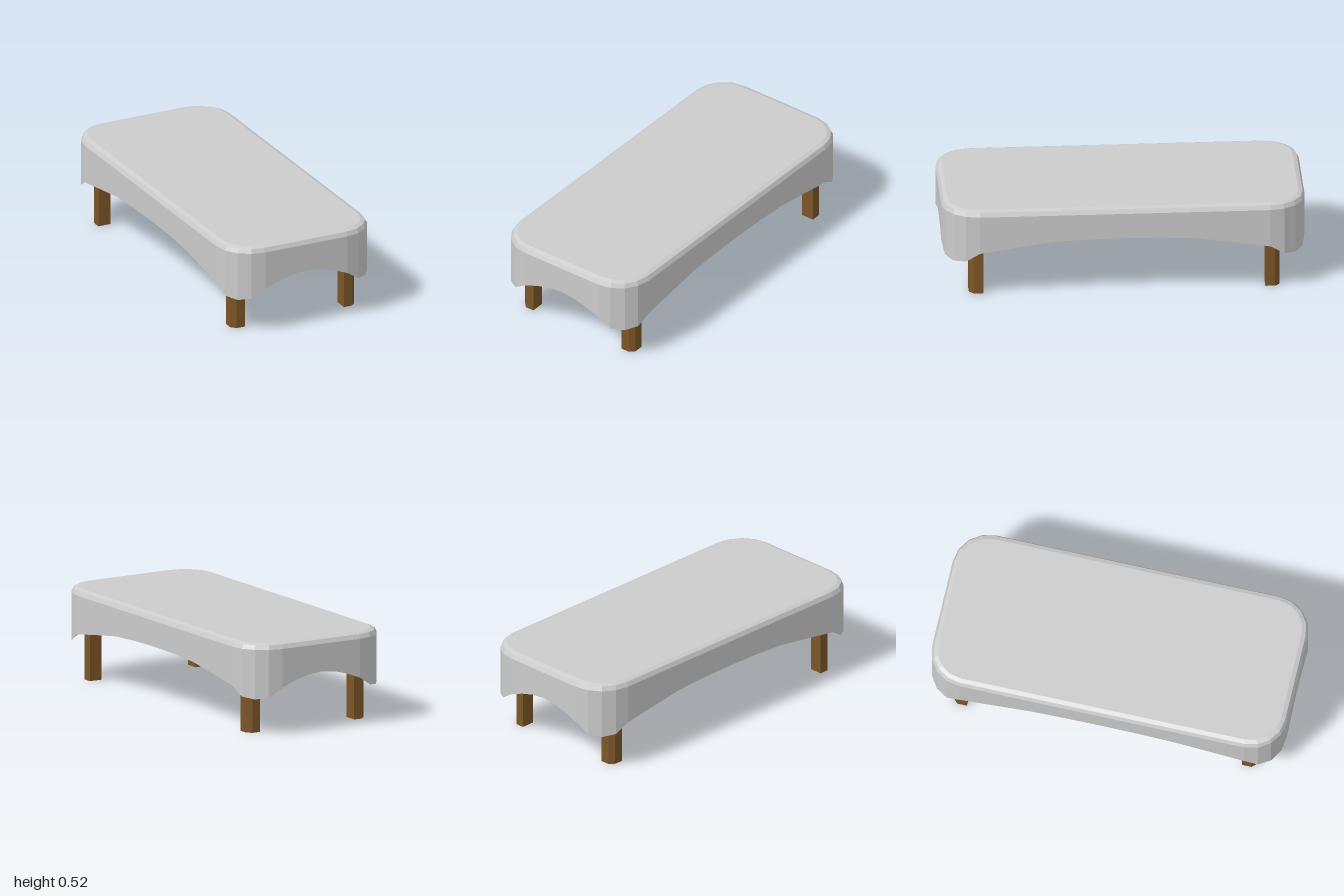
import * as THREE from 'three';

const CX = 0.252, CZ = 0.8, R = 0.2; // corner arc centre and radius

// Hem heights: around a corner, and from each corner to the middle of a side
const CORNER_HEM = [0.267, 0.217, 0.207, 0.217, 0.267];
const END_HEM = [0.3, 0.322, 0.33, 0.322, 0.3];
const SIDE_HEM = [0.298, 0.327, 0.337, 0.34, 0.337, 0.327, 0.298];

// Rounded-rectangle loop in x/z, pulled in by inset, with a hem height at each point
function outline(inset) {
  const loop = [];
  const r = R - inset;
  for (let c = 0; c < 4; c++) {
    const sx = c === 0 || c === 3 ? 1 : -1;
    const sz = c < 2 ? 1 : -1;
    for (let k = 0; k <= 4; k++) {
      const a = (c + k / 4) * Math.PI / 2;
      loop.push({ x: sx * CX + r * Math.cos(a), z: sz * CZ + r * Math.sin(a), hem: CORNER_HEM[k] });
    }
    // straight run to the next corner
    const hems = c % 2 === 0 ? END_HEM : SIDE_HEM;
    const last = loop[loop.length - 1];
    const run = c % 2 === 0 ? { x: -2 * CX * sx, z: 0 } : { x: 0, z: -2 * CZ * sz };
    hems.forEach((hem, i) => {
      const t = (i + 1) / (hems.length + 1);
      loop.push({ x: last.x + run.x * t, z: last.z + run.z * t, hem });
    });
  }
  return loop;
}

// Cloth: scalloped hem, straight skirt, softened rim and flat top
function clothGeometry() {
  const rings = [[0, null], [0, 0.485], [0.012, 0.509], [0.035, 0.518]];
  const pos = [], index = [];
  const n = outline(0).length;
  for (const [inset, y] of rings) {
    for (const p of outline(inset)) pos.push(p.x, y === null ? p.hem : y, p.z);
  }
  const centre = pos.length / 3;
  pos.push(0, 0.518, 0);
  for (let i = 0; i < n; i++) {
    const j = (i + 1) % n;
    for (let k = 0; k < rings.length - 1; k++) {
      const a = k * n + i, b = k * n + j;
      index.push(a, a + n, b, b, a + n, b + n);
    }
    index.push(centre, (rings.length - 1) * n + j, (rings.length - 1) * n + i);
  }
  const g = new THREE.BufferGeometry();
  g.setAttribute('position', new THREE.Float32BufferAttribute(pos, 3));
  g.setIndex(index);
  const flat = g.toNonIndexed();
  flat.computeVertexNormals();
  return flat;
}

// Upright prism from x/z points, between two heights
function prism(points, y0, y1) {
  const shape = new THREE.Shape(points.map(([x, z]) => new THREE.Vector2(x, -z)));
  const g = new THREE.ExtrudeGeometry(shape, { depth: y1 - y0, bevelEnabled: false });
  g.rotateX(-Math.PI / 2);
  g.translate(0, y0, 0);
  return g;
}

export function createModel() {
  const model = new THREE.Group();
  const cloth = new THREE.MeshStandardMaterial({ color: 0xcccccc, flatShading: true, side: THREE.DoubleSide });
  const wood = new THREE.MeshStandardMaterial({ color: 0x7c5628, flatShading: true });

  const add = (name, geometry, material) => {
    const mesh = new THREE.Mesh(geometry, material);
    mesh.name = name;
    model.add(mesh);
    return mesh;
  };

  add('tablecloth', clothGeometry(), cloth);

  // Rounded board under the cloth
  add('tableTop', prism(outline(0.015).map(p => [p.x, p.z]), 0.39, 0.48), wood);

  // Four legs with the outer corner cut off
  const legPlan = [[0.305, 0.775], [0.381, 0.775], [0.381, 0.829], [0.355, 0.855], [0.305, 0.855]];
  for (const sx of [1, -1]) {
    for (const sz of [1, -1]) {
      const plan = legPlan.map(([x, z]) => [x * sx, z * sz]);
      add(`${sz > 0 ? 'front' : 'back'}${sx > 0 ? 'Left' : 'Right'}Leg`, prism(plan, 0, 0.4), wood);
    }
  }

  // Rails joining the legs
  for (const s of [1, -1]) {
    add(s > 0 ? 'leftRail' : 'rightRail', new THREE.BoxGeometry(0.04, 0.05, 1.6), wood)
      .position.set(s * 0.325, 0.375, 0);
    add(s > 0 ? 'frontRail' : 'backRail', new THREE.BoxGeometry(0.66, 0.05, 0.04), wood)
      .position.set(0, 0.375, s * 0.795);
  }
  return model;
}
